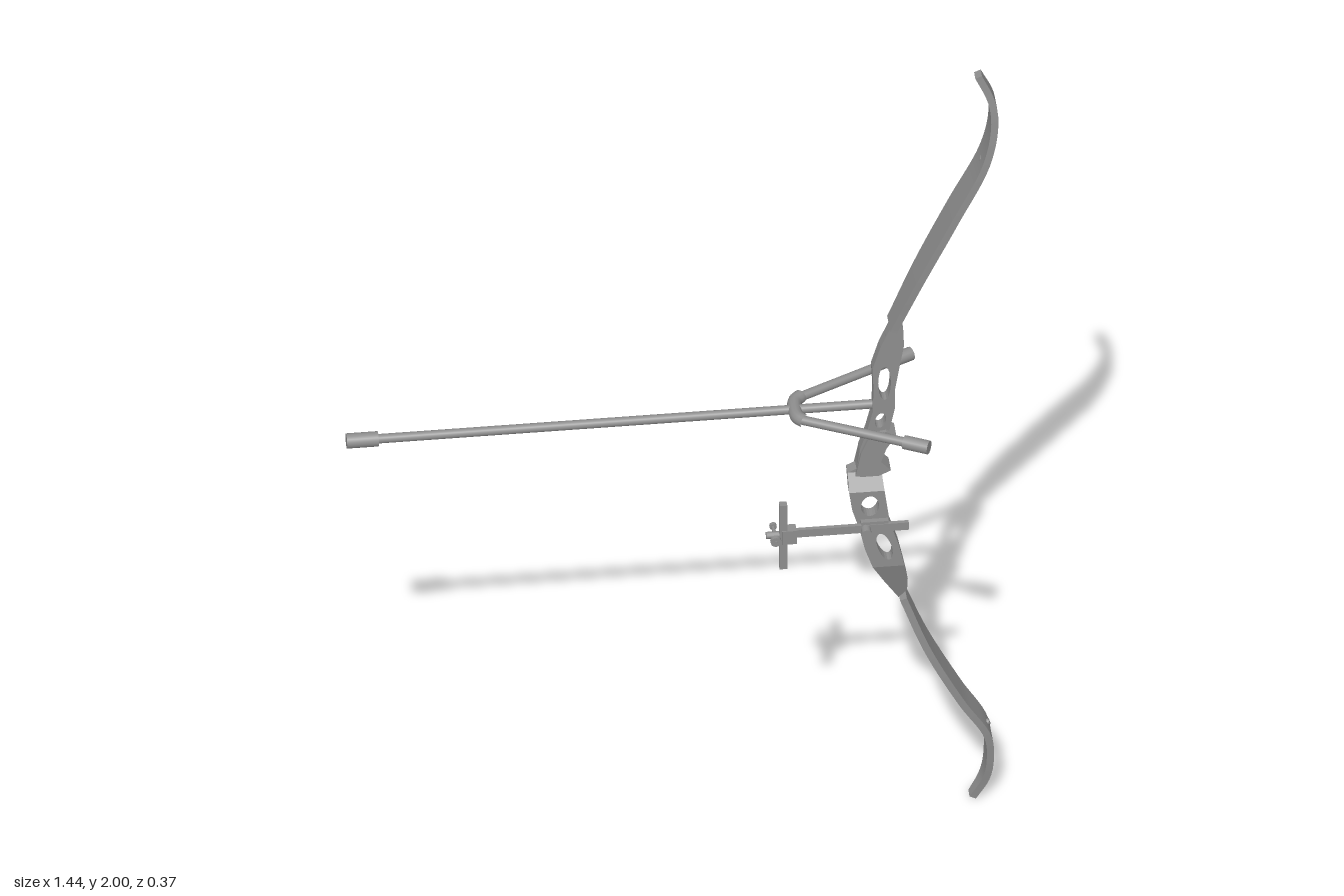
import * as THREE from 'three';

const mat = new THREE.MeshStandardMaterial({ color: 0x8e8e8e });
const V = (x, y, z) => new THREE.Vector3(x, y, z);

function add(parent, name, geometry) {
  const mesh = new THREE.Mesh(geometry, mat);
  mesh.name = name;
  parent.add(mesh);
  return mesh;
}

// round bar between two points
function rod(parent, name, a, b, r, sides = 16) {
  const mesh = add(parent, name, new THREE.CylinderGeometry(r, r, a.distanceTo(b), sides));
  mesh.position.copy(a).add(b).multiplyScalar(0.5);
  mesh.quaternion.setFromUnitVectors(V(0, 1, 0), b.clone().sub(a).normalize());
}

function box(parent, name, w, h, d, x, y, z) {
  add(parent, name, new THREE.BoxGeometry(w, h, d)).position.set(x, y, z);
}

// plate cut from an outline, sheared in z by a linear rule of y
function plate(parent, name, outline, holes, depth, zAt) {
  const shape = new THREE.Shape(outline.map(p => new THREE.Vector2(...p)));
  for (const [x, y, rx, ry, tilt] of holes)
    shape.holes.push(new THREE.Path().absellipse(x, y, rx, ry, 0, Math.PI * 2, true, tilt));
  const g = new THREE.ExtrudeGeometry(shape, { depth, bevelEnabled: false, curveSegments: 10 });
  const p = g.attributes.position;
  for (let i = 0; i < p.count; i++) p.setZ(i, p.getZ(i) - depth / 2 + zAt(p.getY(i)));
  g.computeVertexNormals();
  add(parent, name, g);
}

// flat limb: a segmented box bent along a curve, with leaf-shaped width
function limb(parent, name, points, widths) {
  const curve = new THREE.CatmullRomCurve3(points.map(([x, y]) => V(x, y, 0)));
  const width = new THREE.SplineCurve(widths.map((w, i) => new THREE.Vector2(i, w)));
  const g = new THREE.BoxGeometry(1, 1, 1, 1, 40, 2);
  const p = g.attributes.position;
  for (let i = 0; i < p.count; i++) {
    const t = p.getY(i) + 0.5;
    const c = curve.getPointAt(t), d = curve.getTangentAt(t);
    const off = p.getX(i) * 0.016;
    p.setXYZ(i, c.x + d.y * off, c.y - d.x * off, p.getZ(i) * 2 * width.getPoint(t).y);
  }
  g.computeVertexNormals();
  add(parent, name, g);
}

export function createModel() {
  const bow = new THREE.Group();
  bow.name = 'recurveBow';

  // limbs, both drawn from bottom to top so that faces point outward
  limb(bow, 'upperLimb',
    [[0.485, 1.32], [0.545, 1.46], [0.62, 1.62], [0.69, 1.77], [0.709, 1.87], [0.703, 1.93], [0.675, 1.996]],
    [0.029, 0.036, 0.04, 0.04, 0.036, 0.026, 0.012]);
  limb(bow, 'lowerLimb',
    [[0.662, 0.006], [0.69, 0.06], [0.699, 0.12], [0.692, 0.19], [0.635, 0.29], [0.56, 0.44], [0.507, 0.58]],
    [0.012, 0.026, 0.036, 0.04, 0.04, 0.036, 0.029]);
  rod(bow, 'upperLimbPin', V(0.678, 1.765, 0), V(0.697, 1.758, 0), 0.007);
  rod(bow, 'lowerLimbPin', V(0.678, 0.196, 0), V(0.7, 0.205, 0), 0.007);

  // riser: four plates that meet edge to edge and step sideways around the arrow
  const riser = new THREE.Group();
  riser.name = 'riser';
  bow.add(riser);
  const side = 0.035, depth = 0.028;
  plate(riser, 'upperRiser',
    [[0.385, 0.93], [0.46, 0.93], [0.462, 0.98], [0.478, 1.04], [0.49, 1.1], [0.49, 1.15], [0.498, 1.2],
      [0.51, 1.27], [0.508, 1.32], [0.495, 1.335], [0.482, 1.325], [0.458, 1.27], [0.44, 1.21],
      [0.443, 1.15], [0.44, 1.09], [0.428, 1.04], [0.412, 0.99], [0.406, 0.94]],
    [[0.467, 1.17, 0.014, 0.046, 0], [0.458, 1.068, 0.012, 0.02, -0.2]], depth, () => 0);
  plate(riser, 'riserStep', [[0.385, 0.9], [0.463, 0.9], [0.46, 0.93], [0.385, 0.93]], [], depth,
    y => side * (0.93 - y) / 0.03);
  plate(riser, 'lowerRiser',
    [[0.437, 0.69], [0.507, 0.69], [0.494, 0.75], [0.475, 0.81], [0.463, 0.9], [0.385, 0.9],
      [0.392, 0.85], [0.407, 0.8], [0.42, 0.74]],
    [[0.431, 0.86, 0.02, 0.027, 0], [0.463, 0.745, 0.015, 0.038, 0.3]], depth, () => side);
  plate(riser, 'riserFoot',
    [[0.437, 0.69], [0.465, 0.635], [0.498, 0.575], [0.516, 0.6], [0.516, 0.64], [0.507, 0.69]],
    [], depth, y => side * (y - 0.58) / 0.11);

  // hand grip
  plate(riser, 'grip',
    [[0.402, 0.925], [0.445, 0.918], [0.48, 0.935], [0.458, 0.96], [0.47, 0.995], [0.492, 1.03],
      [0.47, 1.042], [0.435, 1.036], [0.414, 0.985]], [], 0.046, () => 0);

  // limb bolts
  for (const [y, x] of [[1.29, 0.488], [0.62, 0.495]])
    rod(riser, 'limbBolt', V(x - 0.02, y, 0.004), V(x + 0.018, y + (y > 1 ? -0.008 : 0.008), 0.004), 0.009);

  // long stabilizer with end weight
  const stabilizer = new THREE.Group();
  stabilizer.name = 'stabilizer';
  bow.add(stabilizer);
  const h = 1.105;
  rod(stabilizer, 'longRod', V(-0.67, h, 0), V(0.455, h, 0), 0.0105);
  rod(stabilizer, 'longRodWeight', V(-0.72, h, 0), V(-0.65, h, 0), 0.017);

  // V-bar and its two side rods
  const yoke = new THREE.CatmullRomCurve3(
    [V(0.288, h, -0.046), V(0.274, h, -0.03), V(0.27, h, 0), V(0.274, h, 0.03), V(0.288, h, 0.046)]);
  add(stabilizer, 'yoke', new THREE.TubeGeometry(yoke, 20, 0.0155, 12));
  for (const s of [-1, 1]) {
    rod(stabilizer, 'sideRod', V(0.275, h, s * 0.037), V(0.52, h, s * 0.157), 0.0105);
    rod(stabilizer, 'sideRodWeight', V(0.495, h, s * 0.145), V(0.547, h, s * 0.171), 0.0155);
  }

  // sight: extension bar, upright and aiming pin
  const sight = new THREE.Group();
  sight.name = 'sight';
  bow.add(sight);
  const sy = 0.808;
  box(sight, 'extensionBar', 0.26, 0.02, 0.009, 0.385, sy, 0.058);
  box(sight, 'mountBlock', 0.06, 0.034, 0.018, 0.44, sy, 0.052);
  rod(sight, 'mountKnob', V(0.42, sy, 0.055), V(0.42, sy, 0.082), 0.011);
  box(sight, 'upright', 0.017, 0.175, 0.016, 0.237, sy, 0.064);
  box(sight, 'slider', 0.032, 0.036, 0.026, 0.25, sy, 0.062);
  rod(sight, 'sliderScrew', V(0.2, sy, 0.06), V(0.245, sy, 0.06), 0.008, 12);
  rod(sight, 'aimingPin', V(0.219, sy, 0.02), V(0.219, sy, 0.09), 0.004, 10);
  rod(sight, 'pinKnob', V(0.219, sy, 0.078), V(0.219, sy, 0.088), 0.012);
  rod(sight, 'pinRing', V(0.219, sy, 0.024), V(0.219, sy, 0.032), 0.008);

  return bow;
}
